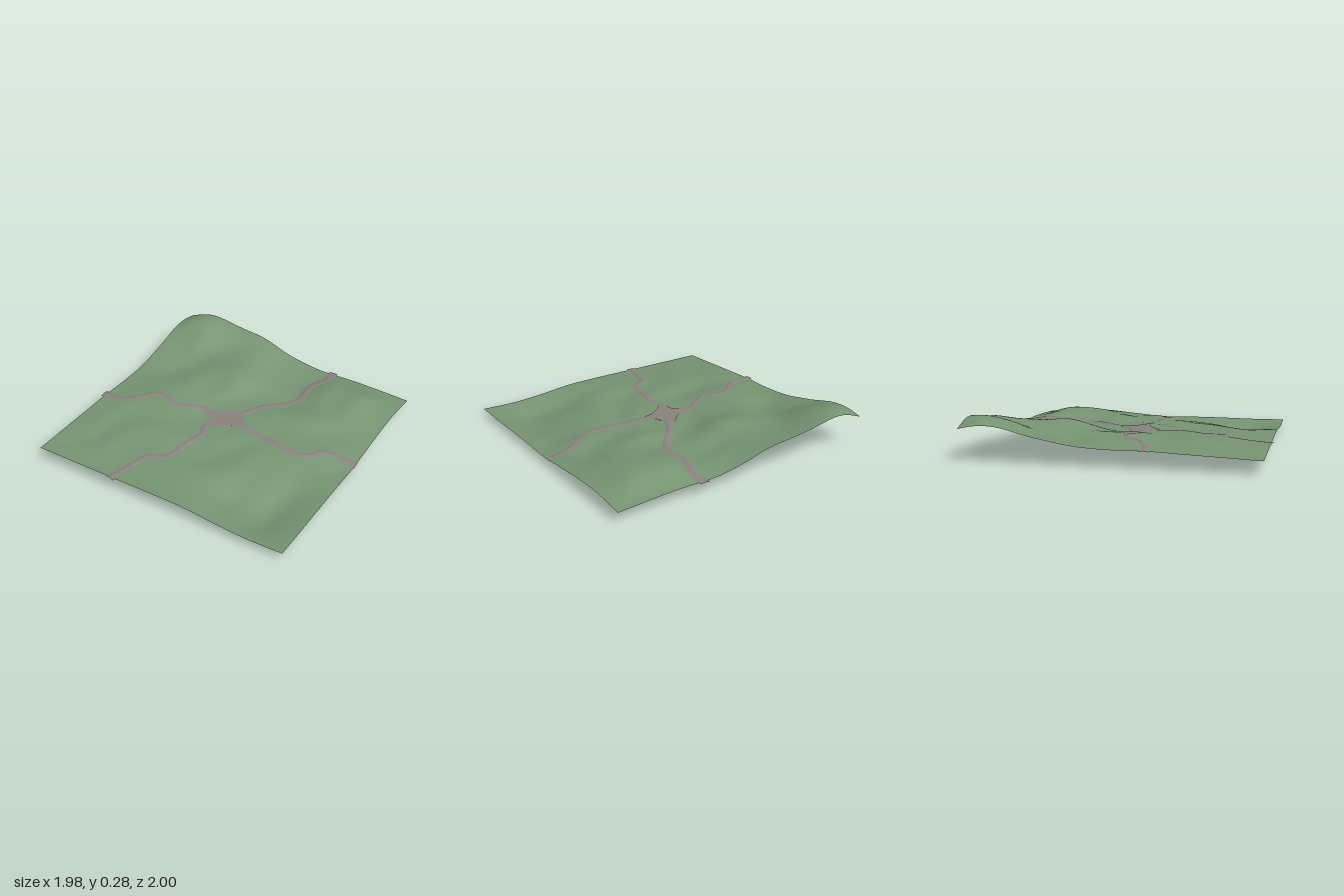
import * as THREE from 'three';

// Coarse ground heights in hundredths, rows from back to front, columns from right (-x) to left (+x)
const RELIEF = [
  [20.5, 26, 23.5, 20, 13, 9, 9, 8, 6.5],
  [23, 23, 19, 18, 12, 11, 14, 13, 9],
  [18, 15.5, 16.5, 19, 13, 10, 13, 13, 8.5],
  [13.5, 13, 14.5, 13.5, 11, 11, 12, 9, 6.5],
  [12, 14, 15, 12.5, 10.5, 10.2, 9.5, 8, 4.6],
  [12, 12, 12.5, 11, 10, 9.8, 8.8, 5, 5],
  [11, 12, 12, 11, 10, 9.2, 6.8, 2.8, 5],
  [10, 10.5, 10, 10, 10, 8, 3.2, 0.8, 4.8],
  [9, 9, 9, 9, 9, 8.5, 6, 4.5, 5],
];
const HALF = 0.975;
const PLAZA_Y = 0.108;
const { clamp, lerp, smoothstep } = THREE.MathUtils;

// Smooth interpolation through one row of samples
function cubic(get, t) {
  const i = Math.min(7, Math.floor(t)), f = t - i;
  const at = (k) => get(Math.min(8, Math.max(0, k)));
  const [a, b, c, d] = [at(i - 1), at(i), at(i + 1), at(i + 2)];
  return b + 0.5 * f * (c - a + f * (2 * a - 5 * b + 4 * c - d + f * (3 * (b - c) + d - a)));
}

// Ground height: relief, corner summit, small undulations, levelled at the crossing
function heightAt(x, z) {
  const u = clamp((x / HALF + 1) * 4, 0, 8);
  const v = clamp((z / HALF + 1) * 4, 0, 8);
  let h = cubic((r) => cubic((c) => RELIEF[r][c], u), v) / 100;
  h += 0.048 * Math.exp(-((x + 0.86) ** 2 + (z + 0.88) ** 2) / 0.022);
  const fade = clamp(4 * (HALF - Math.max(Math.abs(x), Math.abs(z))), 0, 1);
  h += fade * 0.004 * (Math.sin(9 * x + 7 * z + 1) + Math.sin(12 * (x + z) + 2 * Math.sin(5 * (x - z))));
  h = lerp(PLAZA_Y, h, smoothstep(Math.hypot(x, z), 0.17, 0.34));
  return Math.max(0, h);
}

// Grid surface from a function of two parameters in 0..1; triangles whose centre is in a cut are left out
function sheet(nu, nv, point, isCut = () => false) {
  const pos = [], idx = [];
  for (let j = 0; j <= nv; j++) {
    for (let i = 0; i <= nu; i++) pos.push(...point(i / nu, j / nv));
  }
  const triangle = (...t) => {
    const mean = (k) => t.reduce((sum, n) => sum + pos[3 * n + k], 0) / 3;
    if (!isCut(mean(0), mean(2))) idx.push(...t);
  };
  for (let j = 0; j < nv; j++) {
    for (let i = 0; i < nu; i++) {
      const a = j * (nu + 1) + i, b = a + 1, c = a + nu + 1, d = c + 1;
      triangle(a, c, b);
      triangle(b, c, d);
    }
  }
  const g = new THREE.BufferGeometry();
  g.setAttribute('position', new THREE.Float32BufferAttribute(pos, 3));
  g.setIndex(idx);
  g.computeVertexNormals();
  return g;
}

// Paths run from the outer edge to the crossing, as [x, z]
const ROADS = {
  westRoad: [[-0.99, 0.23], [-0.82, 0.22], [-0.72, 0.15], [-0.63, 0.06], [-0.56, 0.035],
    [-0.44, 0.08], [-0.34, 0.05], [-0.26, 0], [-0.1, -0.01]],
  northRoad: [[0.34, -0.99], [0.345, -0.85], [0.29, -0.69], [0.3, -0.5], [0.24, -0.4],
    [0.11, -0.25], [0.02, -0.09]],
  eastRoad: [[0.985, -0.06], [0.82, -0.055], [0.73, -0.015], [0.67, 0.06], [0.585, 0.085],
    [0.4, 0.07], [0.06, 0.02]],
  southRoad: [[-0.35, 0.99], [-0.3, 0.79], [-0.25, 0.67], [-0.16, 0.625], [-0.12, 0.45],
    [-0.08, 0.26], [-0.11, 0.17], [-0.07, 0.08]],
};
const PLAZA = [[-0.01, -0.14], [0.05, -0.1], [0.08, -0.03], [0.13, 0.01], [0.12, 0.055], [0.05, 0.07],
  [-0.04, 0.13], [-0.07, 0.17], [-0.12, 0.13], [-0.13, 0.06], [-0.24, 0.02], [-0.23, -0.025],
  [-0.13, -0.03], [-0.08, -0.07]];

const roadCurve = (points) => new THREE.CatmullRomCurve3(points.map(([x, z]) => new THREE.Vector3(x, 0, z)));

// Cambered ribbon draped over the ground, a little wider at the outer end
function roadGeometry(curve) {
  return sheet(6, 90, (u, v) => {
    const p = curve.getPointAt(v), t = curve.getTangentAt(v);
    const w = (u - 0.5) * (0.062 + 0.01 * Math.max(0, 1 - 6 * v));
    const x = p.x + t.z * w, z = p.z - t.x * w;
    return [x, heightAt(x, z) + 0.004 - 0.006 * (2 * u - 1) ** 2, z];
  });
}

export function createModel() {
  const model = new THREE.Group();
  model.name = 'hillyCrossroads';
  const grass = new THREE.MeshStandardMaterial({ name: 'grassGreen', color: 0x779573, side: THREE.DoubleSide });
  const stone = new THREE.MeshStandardMaterial({ name: 'roadGrey', color: 0x8b8380, side: THREE.DoubleSide });
  const add = (name, geometry, material) => {
    const mesh = new THREE.Mesh(geometry, material);
    mesh.name = name;
    model.add(mesh);
  };

  // Roads
  const centreLine = [];
  for (const [name, points] of Object.entries(ROADS)) {
    const curve = roadCurve(points);
    add(name, roadGeometry(curve), stone);
    centreLine.push(...curve.getSpacedPoints(120));
  }

  // Plaza at the crossing
  const outline = new THREE.Shape(PLAZA.map(([x, z]) => new THREE.Vector2(x, -z)));
  const plaza = new THREE.ShapeGeometry(outline);
  add('plaza', plaza.rotateX(-Math.PI / 2).translate(0, PLAZA_Y + 0.005, 0), stone);

  // Ground sheet, open beneath the roads and plaza; its high corner bulges slightly outward
  const underPaving = (x, z) => Math.hypot(x, z) < 0.08
    || centreLine.some((p) => (p.x - x) ** 2 + (p.z - z) ** 2 < 0.018 ** 2);
  add('ground', sheet(160, 160, (u, v) => {
    const x = (2 * u - 1) * HALF, z = (2 * v - 1) * HALF;
    const back = 0.03 * smoothstep(-x, 0.08, 0.38) * smoothstep(-z, 0.7, HALF);
    const side = 0.018 * smoothstep(-z, 0.1, 0.9) * smoothstep(-x, 0.7, HALF);
    return [x - side + 0.005, heightAt(x, z), z - back + 0.005];
  }, underPaving), grass);
  return model;
}
